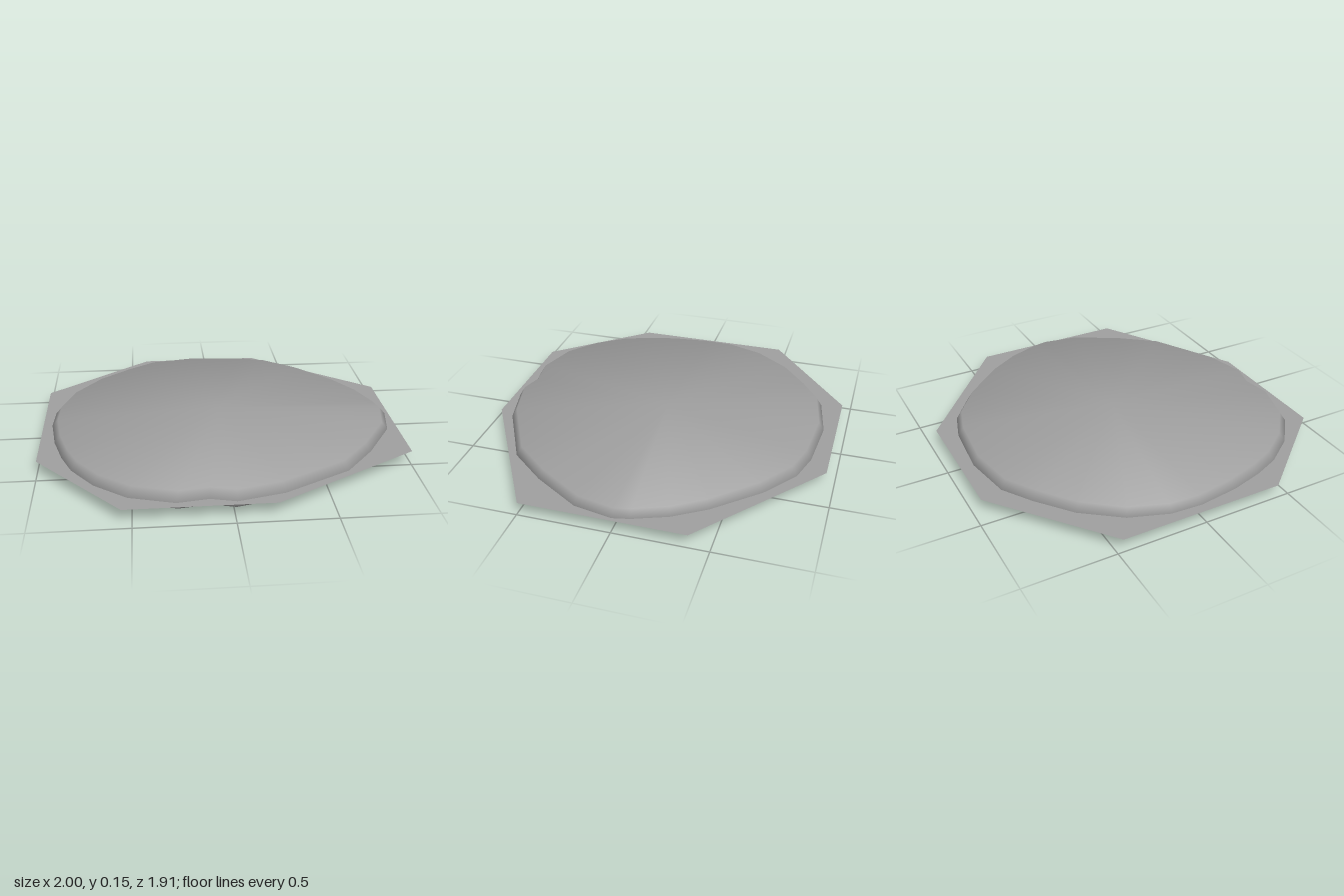
import * as THREE from 'three';

const MID = 0.078; // height of the middle plane
const HALF = 0.076; // half thickness at the centre
const GREY = 0x9e9e9e;

// Widest contour of the disc as x, z pairs
const outline = [
  [0.98, 0], [0.94, 0.21], [0.78, 0.47], [0.615, 0.67], [0.255, 0.865], [0.01, 0.925], [-0.12, 0.89],
  [-0.285, 0.915], [-0.52, 0.845], [-0.69, 0.71], [-0.81, 0.545], [-0.87, 0.4], [-0.92, 0.22], [-0.95, 0],
  [-0.94, -0.17], [-0.865, -0.38], [-0.715, -0.58], [-0.53, -0.73], [-0.37, -0.835], [-0.1, -0.885],
  [0.21, -0.86], [0.38, -0.81], [0.57, -0.67], [0.78, -0.44], [0.89, -0.27], [0.96, -0.09],
];

// Corners of the flat plate as x, z pairs
const plateCorners = [
  [-0.4, -0.955], [0.31, -0.955], [1, -0.39], [1, 0.49],
  [0.21, 0.955], [-0.55, 0.955], [-1, 0.43], [-1, -0.47],
];

// Shallow lens: a cone-like face above and below, joined by a bevelled rim.
// The rim normals lean outwards so that the faces shade as soft domes.
function lensGeometry() {
  const n = outline.length;
  const positions = [];
  const normals = [];
  const index = [];
  const ring = (scale, side, lean) => outline.forEach(([x, z], i) => {
    const [px, pz] = outline[(i + n - 1) % n];
    const [nx, nz] = outline[(i + 1) % n];
    const out = new THREE.Vector2(nz - pz, px - nx).normalize().multiplyScalar(Math.sin(lean));
    const rimHeight = 0.038 + 0.014 * Math.abs(z);
    positions.push(x * scale, MID + side * rimHeight, z * scale);
    normals.push(out.x, side * Math.cos(lean), out.y);
  });
  const rimLean = THREE.MathUtils.degToRad(27);
  ring(0.965, 1, rimLean);
  ring(1, 0, Math.PI / 2);
  ring(0.965, -1, rimLean);
  positions.push(0, MID + HALF, 0, 0, MID - HALF, 0);
  normals.push(0, 1, 0, 0, -1, 0);
  const top = 3 * n, bottom = top + 1;

  for (let i = 0; i < n; i++) {
    const j = (i + 1) % n;
    index.push(top, j, i);
    index.push(bottom, 2 * n + i, 2 * n + j);
    for (let r = 0; r < 2; r++) {
      const a = r * n + i, b = r * n + j;
      index.push(a, b, a + n, b, b + n, a + n);
    }
  }
  const geometry = new THREE.BufferGeometry();
  geometry.setAttribute('position', new THREE.Float32BufferAttribute(positions, 3));
  geometry.setAttribute('normal', new THREE.Float32BufferAttribute(normals, 3));
  geometry.setIndex(index);
  return geometry;
}

export function createModel() {
  const group = new THREE.Group();

  const disc = new THREE.Mesh(lensGeometry(), new THREE.MeshStandardMaterial({ color: GREY }));
  disc.name = 'lensDisc';
  group.add(disc);

  // Paper-thin eight-sided plate through the middle of the disc
  const shape = new THREE.Shape(plateCorners.map(([x, z]) => new THREE.Vector2(x, -z)));
  const plateGeometry = new THREE.ShapeGeometry(shape).rotateX(-Math.PI / 2).translate(0, MID, 0);
  const plate = new THREE.Mesh(plateGeometry,
    new THREE.MeshStandardMaterial({ color: GREY, side: THREE.DoubleSide }));
  plate.name = 'flatPlate';
  group.add(plate);

  return group;
}
